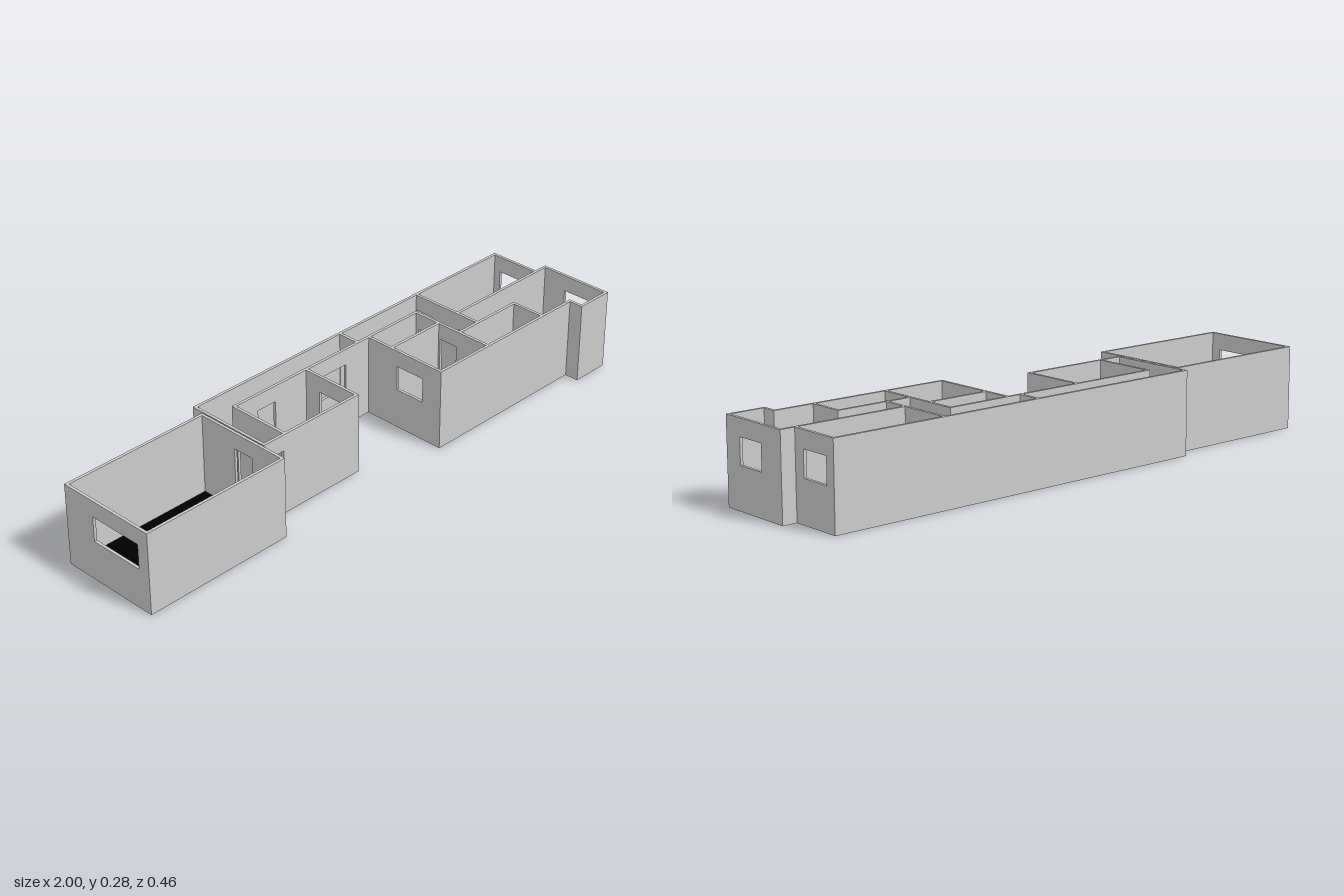
import * as THREE from 'three';

const H = 0.283;   // wall height
const T = 0.01;    // wall thickness
const SLAB = 0.005;
const DOOR = [0.01, 0.226];
const WINDOW = [0.14, 0.226];

const grey = new THREE.MeshStandardMaterial({ color: 0xcccccc });
const black = new THREE.MeshStandardMaterial({ color: 0x000000 });

// Upright panel with rectangular openings; axis 'x' runs along x at z = at, axis 'z' along z at x = at
function wall(name, axis, at, from, to, openings = []) {
  const a = from - T / 2, b = to + T / 2;
  const rect = (Kind, x0, y0, x1, y1) => new Kind([
    new THREE.Vector2(x0, y0), new THREE.Vector2(x1, y0),
    new THREE.Vector2(x1, y1), new THREE.Vector2(x0, y1),
  ]);
  const shape = rect(THREE.Shape, a, 0, b, H);
  for (const [s, e, [low, high]] of openings) shape.holes.push(rect(THREE.Path, s, low, e, high));
  const geo = new THREE.ExtrudeGeometry(shape, { depth: T, bevelEnabled: false });
  geo.translate(0, 0, -T / 2);
  if (axis === 'x') geo.translate(0, 0, at);
  else geo.rotateY(-Math.PI / 2).translate(at, 0, 0);
  const mesh = new THREE.Mesh(geo, grey);
  mesh.name = name;
  return mesh;
}

// Floor slab with a dark covering, from an outline of [x, z] corners
function floor(name, outline) {
  const shape = new THREE.Shape(outline.map(([x, z]) => new THREE.Vector2(x, -z)));
  const group = new THREE.Group();
  group.name = name;
  const slab = new THREE.Mesh(
    new THREE.ExtrudeGeometry(shape, { depth: SLAB, bevelEnabled: false }).rotateX(-Math.PI / 2), grey);
  slab.name = 'slab';
  const cover = new THREE.Mesh(new THREE.ShapeGeometry(shape).rotateX(-Math.PI / 2), black);
  cover.position.y = SLAB + 0.001;
  cover.name = 'floorCovering';
  group.add(slab, cover);
  return group;
}

export function createModel() {
  const model = new THREE.Group();
  model.name = 'floorPlanBuilding';

  // Floors, kept just inside the outer wall faces
  model.add(floor('hallFloor', [[-0.998, -0.18], [-0.462, -0.18], [-0.462, 0.176], [-0.998, 0.176]]));
  model.add(floor('mainFloor', [
    [-0.454, -0.226], [0.948, -0.226], [0.948, -0.038], [0.998, -0.038], [0.998, 0.226], [0.865, 0.226],
    [0.865, 0.176], [0.227, 0.176], [0.227, -0.138], [-0.052, -0.138], [-0.052, 0.083], [-0.454, 0.083],
  ]));

  const walls = [
    // Large hall
    ['hallBackWall', 'x', -0.177, -0.995, -0.465],
    ['hallFrontWall', 'x', 0.173, -0.995, -0.465],
    ['hallRightWall', 'z', -0.995, -0.177, 0.173, [[-0.06, 0.135, WINDOW]]],
    ['hallLeftWall', 'z', -0.465, -0.177, 0.173, [[-0.03, 0.047, DOOR]]],
    // Corridor
    ['corridorBackWall', 'x', -0.223, -0.451, 0.945],
    ['corridorEndWall', 'z', -0.451, -0.223, 0.08, [[-0.03, 0.047, DOOR]]],
    ['corridorFrontWall', 'x', -0.141, -0.365, 0.455, [[-0.27, -0.195, DOOR], [0.01, 0.12, WINDOW]]],
    ['corridorPartition', 'z', 0.18, -0.223, -0.141, [[-0.215, -0.15, DOOR]]],
    // Front room beside the entrance
    ['entranceWall', 'x', 0.08, -0.451, -0.055, [[-0.45, -0.375, DOOR]]],
    ['frontRoomRightWall', 'z', -0.365, -0.141, 0.08],
    ['frontRoomLeftWall', 'z', -0.055, -0.141, 0.08, [[-0.077, 0.022, WINDOW]]],
    // Small rooms
    ['smallRoomsOuterWall', 'z', 0.23, -0.141, 0.173, [[-0.01, 0.1, WINDOW]]],
    ['smallRoomsPartition', 'x', -0.04, 0.23, 0.455],
    ['smallRoomsInnerWall', 'z', 0.455, -0.141, 0.173, [[-0.125, -0.055, DOOR], [-0.028, 0.042, DOOR]]],
    ['storeBackWall', 'x', 0.05, 0.455, 0.725, [[0.463, 0.535, DOOR]]],
    ['storeLeftWall', 'z', 0.725, 0.05, 0.173],
    ['mainFrontWall', 'x', 0.173, 0.23, 0.865],
    // Back and end rooms
    ['backRoomInnerWall', 'z', 0.545, -0.223, 0.05, [[-0.215, -0.145, DOOR], [-0.028, 0.042, DOOR]]],
    ['backRoomFrontWall', 'x', -0.04, 0.545, 0.995],
    ['backRoomEndWall', 'z', 0.945, -0.223, -0.04, [[-0.193, -0.085, WINDOW]]],
    ['endRoomEndWall', 'z', 0.995, -0.04, 0.223, [[0.053, 0.16, WINDOW]]],
    ['bayFrontWall', 'x', 0.223, 0.867, 0.995],
    ['baySideWall', 'z', 0.867, 0.173, 0.223],
  ];
  for (const w of walls) model.add(wall(...w));

  return model;
}
